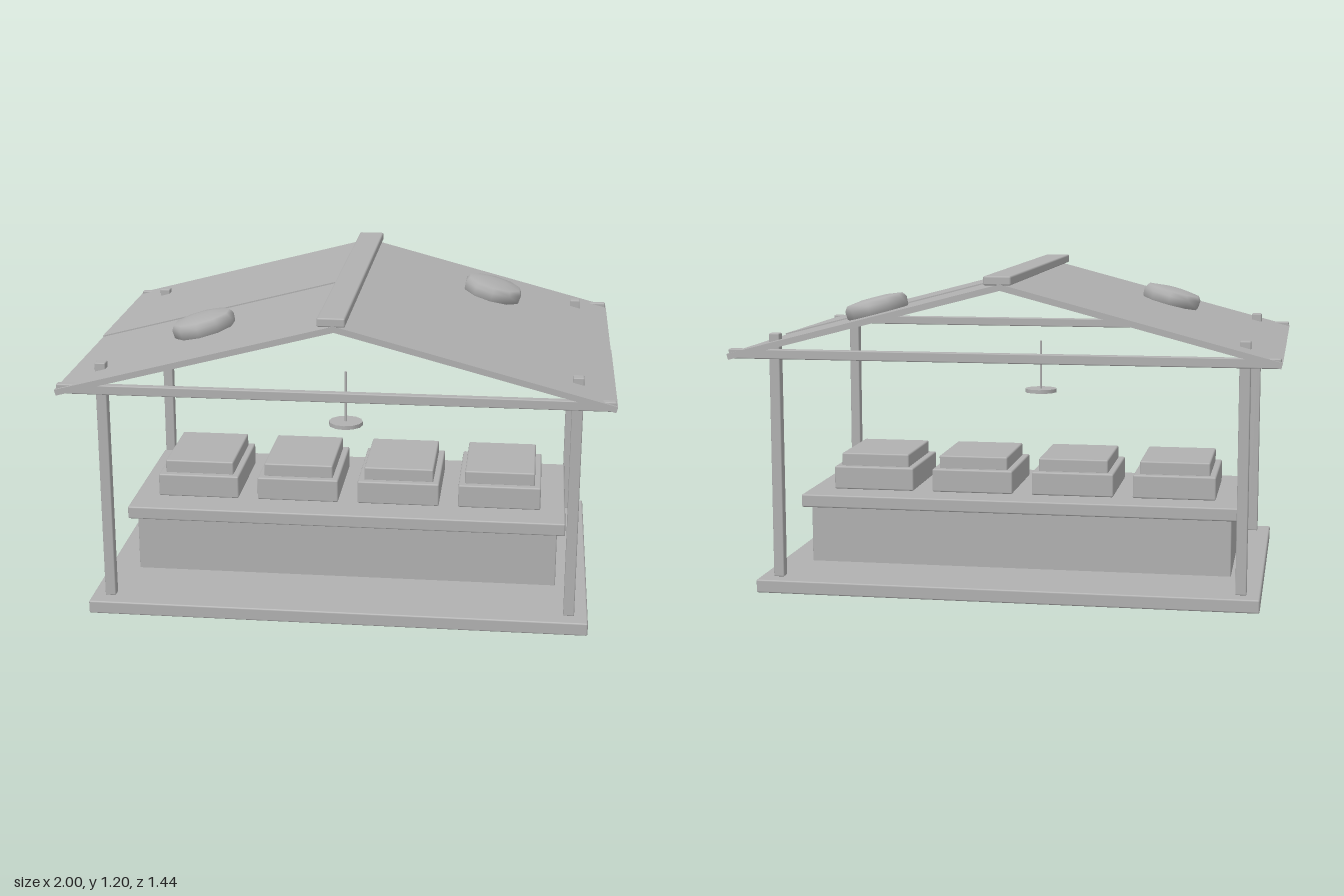
import * as THREE from 'three';
import { RoundedBoxGeometry } from 'three/addons/geometries/RoundedBoxGeometry.js';

const grey = new THREE.MeshStandardMaterial({ color: 0xb0b0b0 });
grey.name = 'plain grey';

export function createModel() {
  const stall = new THREE.Group();
  stall.name = 'marketStall';

  const add = (name, geometry, x, y, z, parent = stall) => {
    const mesh = new THREE.Mesh(geometry, grey);
    mesh.name = name;
    mesh.position.set(x, y, z);
    parent.add(mesh);
    return mesh;
  };
  // Softly bevelled box standing on height y
  const block = (name, w, h, d, x, y, z, bevel = 0.006) =>
    add(name, new RoundedBoxGeometry(w, h, d, 1, bevel), x, y + h / 2, z);

  // Floor and counter
  block('floor', 1.87, 0.05, 1.275, 0, 0, 0);
  block('counter', 1.63, 0.23, 0.6, 0, 0.045, 0, 0.004);
  block('counterTop', 1.69, 0.05, 0.68, 0, 0.27, 0);

  // Row of stepped goods on the counter
  for (const x of [-0.59, -0.197, 0.197, 0.59]) {
    block('crate', 0.318, 0.09, 0.41, x, 0.32, 0);
    block('crateFilling', 0.27, 0.055, 0.355, x, 0.405, 0);
  }

  // Corner posts and eave beams, their ends just piercing the roof
  for (const z of [-1, 1]) {
    for (const x of [-1, 1]) block('post', 0.04, 0.92, 0.04, x * 0.865, 0.05, z * 0.557, 0.004);
    block('eaveBeam', 1.99, 0.035, 0.03, 0, 0.89, z * 0.693, 0.004);
  }

  // Roof: two panels on each slope, one lapping slightly over the other
  const slope = Math.atan(0.262);
  const run = 1 / Math.cos(slope);
  const thick = 0.022;
  for (const side of [-1, 1]) {
    const seam = side > 0 ? -0.01 : 0.005;
    const half = new THREE.Group();
    half.name = side > 0 ? 'leftSlope' : 'rightSlope';
    half.position.set(0, 1.174, 0);
    half.rotation.z = -side * slope;
    stall.add(half);
    for (const end of [-1, 1]) {
      const depth = 0.72 - end * seam;
      const drop = end === side ? 0 : 0.005;
      add('roofPanel', new THREE.BoxGeometry(run, thick, depth),
        side * run / 2, -thick / 2 - drop, (end * 0.72 + seam) / 2, half);
    }
    // Low ten-sided vent cap lying on the slope
    const profile = [[0.1, -0.02], [0.118, 0], [0.12, 0.03], [0.108, 0.048], [0.05, 0.056], [0, 0.057]]
      .map(([r, y]) => new THREE.Vector2(r, y));
    add('roofVent', new THREE.LatheGeometry(profile, 10),
      side * 0.525 * run, 0, side > 0 ? -0.355 : 0.31, half);
  }
  block('ridgeCap', 0.1, 0.033, 1.44, 0, 1.167, 0);

  // Hanging lamp under the front half
  add('lampRod', new THREE.CylinderGeometry(0.005, 0.005, 0.2, 8), 0, 0.772, 0.26);
  add('lampPlate', new THREE.CylinderGeometry(0.065, 0.065, 0.015, 12), 0, 0.668, 0.26);

  return stall;
}
